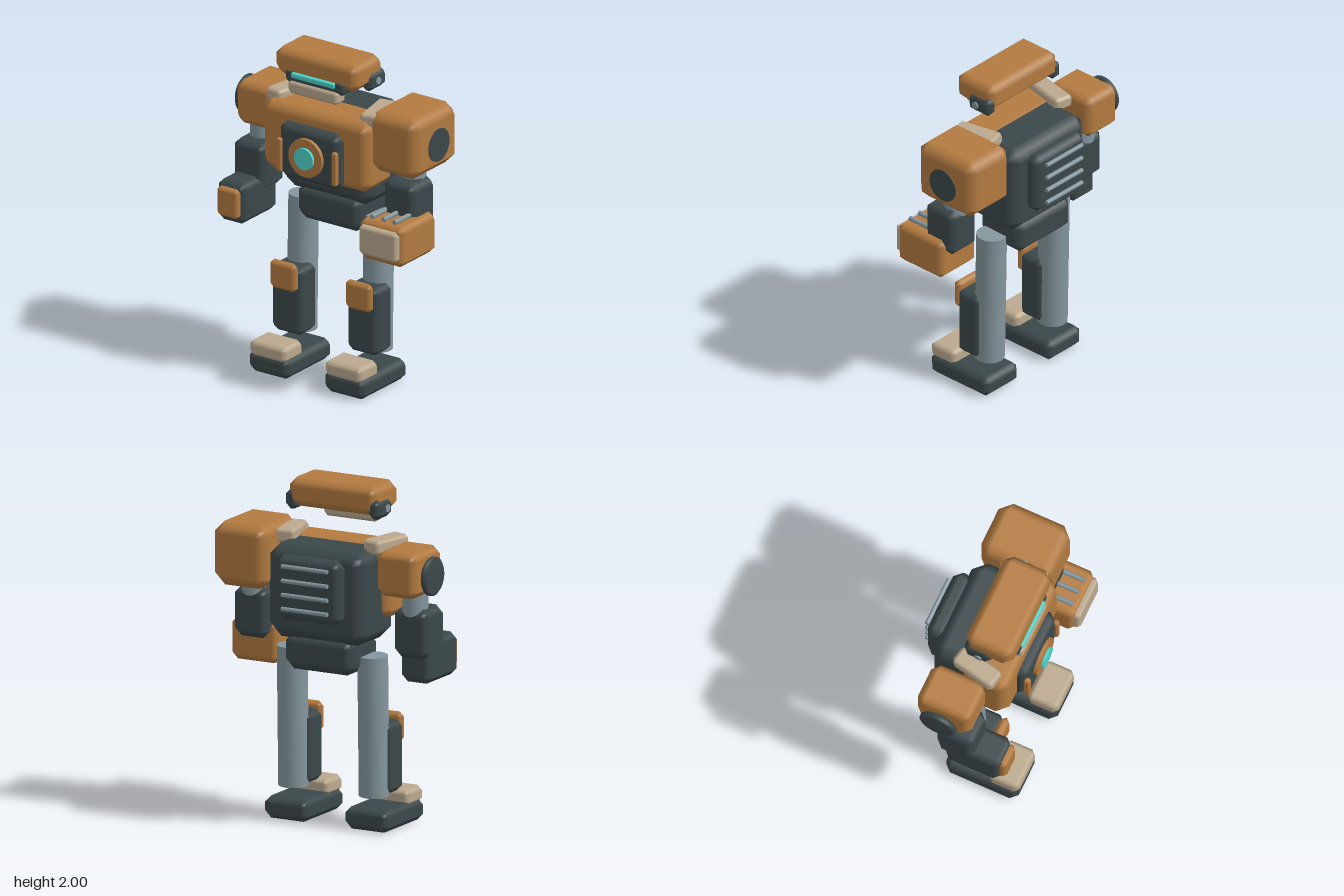
import * as THREE from 'three';

const paint = (name, color) => Object.assign(new THREE.MeshStandardMaterial({ color }), { name });

// Box given by its extents, with every edge and corner chamfered by c and softly shaded
function chamferBox(w, h, d, c) {
  const half = [w / 2, h / 2, d / 2];
  const geo = new THREE.BoxGeometry(1, 1, 1, 3, 3, 3);
  const pos = geo.attributes.position, nor = geo.attributes.normal;
  for (let i = 0; i < pos.count; i++) {
    const p = [pos.getX(i), pos.getY(i), pos.getZ(i)];
    const outer = p.map(v => Math.abs(v) > 0.4);
    const k = outer.filter(Boolean).length;
    const q = p.map((v, a) => Math.sign(v) * (half[a] - (outer[a] ? c * (k - 1) / k : c)));
    const n = p.map((v, a) => (outer[a] ? Math.sign(v) / Math.sqrt(k) : 0));
    pos.setXYZ(i, ...q);
    nor.setXYZ(i, ...n);
  }
  return geo;
}

export function createModel() {
  const model = new THREE.Group();
  model.name = 'robot';
  const orange = paint('orange armour', 0xb27a40);
  const dark = paint('dark frame', 0x3b474a);
  const steel = paint('steel', 0x84969e);
  const tan = paint('tan plate', 0xbba98e);
  const cyan = paint('cyan glow', 0x4fd2c8);

  function add(name, geo, mat, x, y, z) {
    const mesh = new THREE.Mesh(geo, mat);
    mesh.name = name;
    mesh.position.set(x, y, z);
    model.add(mesh);
    return mesh;
  }
  function block(name, mat, [x0, x1], [y0, y1], [z0, z1], c) {
    return add(name, chamferBox(x1 - x0, y1 - y0, z1 - z0, c), mat,
      (x0 + x1) / 2, (y0 + y1) / 2, (z0 + z1) / 2);
  }
  function rod(name, mat, r, length, axis, x, y, z, sides = 24) {
    const geo = new THREE.CylinderGeometry(r, r, length, sides);
    if (axis === 'x') geo.rotateZ(Math.PI / 2);
    if (axis === 'z') geo.rotateX(Math.PI / 2);
    return add(name, geo, mat, x, y, z);
  }

  // Head
  block('headShell', orange, [-0.295, 0.295], [1.83, 2.0], [-0.055, 0.24], 0.05);
  block('visor', dark, [-0.21, 0.21], [1.8, 1.89], [0.08, 0.245], 0.025);
  block('visorLight', cyan, [-0.155, 0.155], [1.84, 1.875], [0.225, 0.256], 0.01);
  block('jaw', tan, [-0.177, 0.177], [1.743, 1.825], [0.16, 0.26], 0.022);

  // Torso
  block('chest', orange, [-0.38, 0.38], [1.23, 1.66], [-0.04, 0.247], 0.06);
  block('backBody', dark, [-0.325, 0.325], [1.1, 1.65], [-0.255, 0.15], 0.075);
  block('pelvis', dark, [-0.23, 0.23], [0.915, 1.13], [-0.22, 0.12], 0.055);
  block('backpack', dark, [-0.215, 0.215], [1.235, 1.61], [-0.335, -0.22], 0.045);
  for (const y of [1.555, 1.47, 1.387, 1.305]) rod('backVent', steel, 0.013, 0.3, 'x', 0, y, -0.35, 10);

  // Chest panel with its lamp
  block('chestPanel', dark, [-0.217, 0.217], [1.235, 1.575], [0.2, 0.303], 0.045);
  rod('lampRing', orange, 0.117, 0.045, 'z', 0, 1.405, 0.303, 20);
  rod('lampLens', cyan, 0.066, 0.04, 'z', 0, 1.405, 0.322, 20);

  // Parts repeated on both sides
  for (const s of [1, -1]) {
    const span = (a, b) => (s > 0 ? [a, b] : [-b, -a]);
    block('ear', dark, span(0.23, 0.315), [1.81, 1.925], [-0.05, 0.122], 0.032);
    rod('earBolt', steel, 0.022, 0.03, 'x', s * 0.308, 1.868, 0.048, 16);
    block('chestBar', orange, span(0.175, 0.213), [1.275, 1.48], [0.285, 0.32], 0.01);
    const pad = block('shoulderPad', tan, span(0.248, 0.373), [1.62, 1.705], [-0.1, 0.18], 0.022);
    pad.rotation.y = s * 0.21;

    rod('upperArm', steel, 0.075, 0.25, 'y', s * 0.528, 1.4, 0);
    block('elbow', dark, span(0.412, 0.643), [1.03, 1.325], [-0.075, 0.16], 0.045);

    const thigh = rod('leg', steel, 0.088, 0.825, 'y', s * 0.265, 0.605, -0.023);
    thigh.rotation.x = -0.02;
    block('shin', dark, span(0.155, 0.375), [0.205, 0.62], [-0.025, 0.15], 0.035);
    block('kneePad', orange, span(0.17, 0.36), [0.48, 0.655], [0.13, 0.19], 0.028);
    block('foot', dark, span(0.118, 0.412), [0, 0.13], [-0.125, 0.33], 0.04);
    block('toeCap', tan, span(0.133, 0.397), [0.1, 0.2], [0.143, 0.335], 0.03);
  }

  // Heavy left arm
  block('leftShoulder', orange, [0.32, 0.68], [1.36, 1.735], [-0.255, 0.193], 0.065);
  rod('leftShoulderDisc', dark, 0.1, 0.03, 'x', 0.67, 1.533, -0.035, 32);
  block('leftForearm', orange, [0.37, 0.685], [0.88, 1.13], [-0.025, 0.33], 0.038);
  block('leftFistPlate', tan, [0.39, 0.662], [0.92, 1.1], [0.3, 0.357], 0.022);
  for (const x of [0.445, 0.525, 0.603]) rod('forearmVent', steel, 0.014, 0.16, 'z', x, 1.141, 0.21, 10);

  // Lighter right arm
  block('rightShoulder', orange, [-0.637, -0.37], [1.41, 1.677], [-0.2, 0.137], 0.045);
  const discProfile = [[0, -0.02], [0.1, -0.02], [0.113, -0.01], [0.113, 0.01], [0.1, 0.02], [0, 0.02]];
  const disc = new THREE.LatheGeometry(discProfile.map(p => new THREE.Vector2(...p)), 32);
  disc.rotateZ(Math.PI / 2);
  add('rightShoulderDisc', disc, dark, -0.665, 1.53, -0.042);
  block('rightForearm', dark, [-0.632, -0.432], [0.88, 1.13], [-0.025, 0.325], 0.038);
  block('rightFistPlate', orange, [-0.608, -0.455], [0.92, 1.1], [0.3, 0.355], 0.022);

  return model;
}
